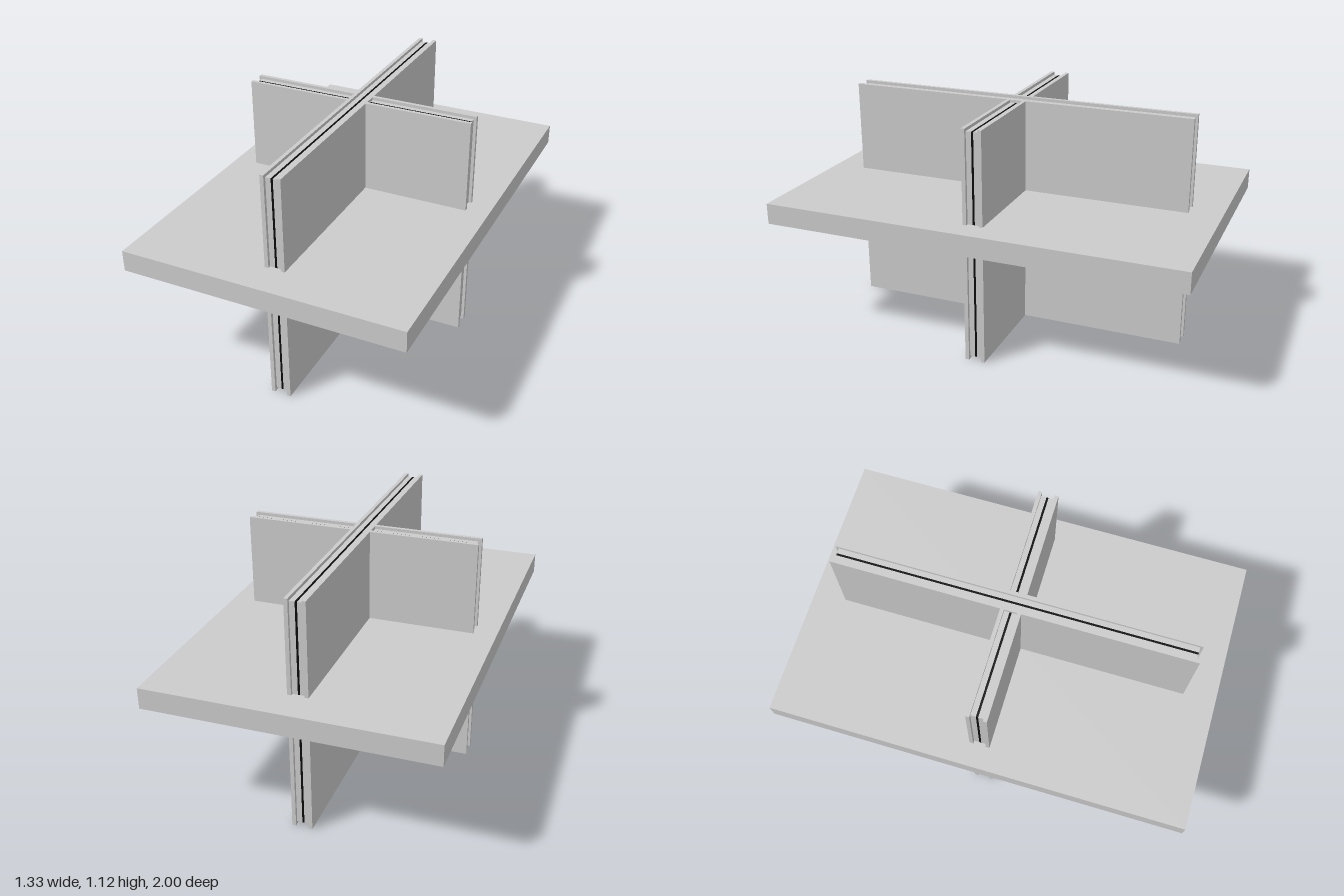
import * as THREE from 'three';

const H = 1.117;          // panel height
const FACE = 0.018;       // thickness of an outer sheet
const HALF = 0.048;       // half thickness of a whole panel
const SEAM = 0.01;        // thickness of the dark middle layer
const INSET = 0.014;      // how far the core sits back from the edges

const grey = new THREE.MeshStandardMaterial({ color: 0xcccccc });
const dark = new THREE.MeshStandardMaterial({ color: 0x0a0a0a });

function box(name, size, pos, material = grey) {
  const mesh = new THREE.Mesh(new THREE.BoxGeometry(...size), material);
  mesh.name = name;
  mesh.position.set(...pos);
  return mesh;
}

// Layered panel running along z from z0 to z1; in0/in1 recess the core at each end
function layeredPanel(name, z0, z1, in0, in1) {
  const panel = new THREE.Group();
  panel.name = name;
  const c0 = z0 + in0, c1 = z1 - in1;
  const coreWidth = HALF - FACE - SEAM / 2;
  const coreHeight = H - 2 * INSET;
  for (const s of [-1, 1]) {
    panel.add(box('outerSheet', [FACE, H, z1 - z0], [s * (HALF - FACE / 2), H / 2, (z0 + z1) / 2]));
    panel.add(box('core', [coreWidth, coreHeight, c1 - c0],
      [s * (SEAM / 2 + coreWidth / 2), H / 2, (c0 + c1) / 2]));
  }
  panel.add(box('middleLayer', [SEAM, coreHeight, c1 - c0], [0, H / 2, (c0 + c1) / 2], dark));
  return panel;
}

export function createModel() {
  const model = new THREE.Group();
  model.name = 'crossedPanels';

  // Horizontal slab
  model.add(box('slab', [1.333, 0.1, 2], [0, 0.625, 0]));

  // Long panel, front to back
  model.add(layeredPanel('longPanel', -0.845, 0.845, INSET, INSET));

  // Short cross panel, one half on each side of the long panel
  for (const s of [-1, 1]) {
    const half = layeredPanel('crossPanelHalf', HALF, 0.558, 0, INSET);
    half.rotation.y = s * Math.PI / 2;
    half.position.z = -0.002;
    model.add(half);
  }
  return model;
}
